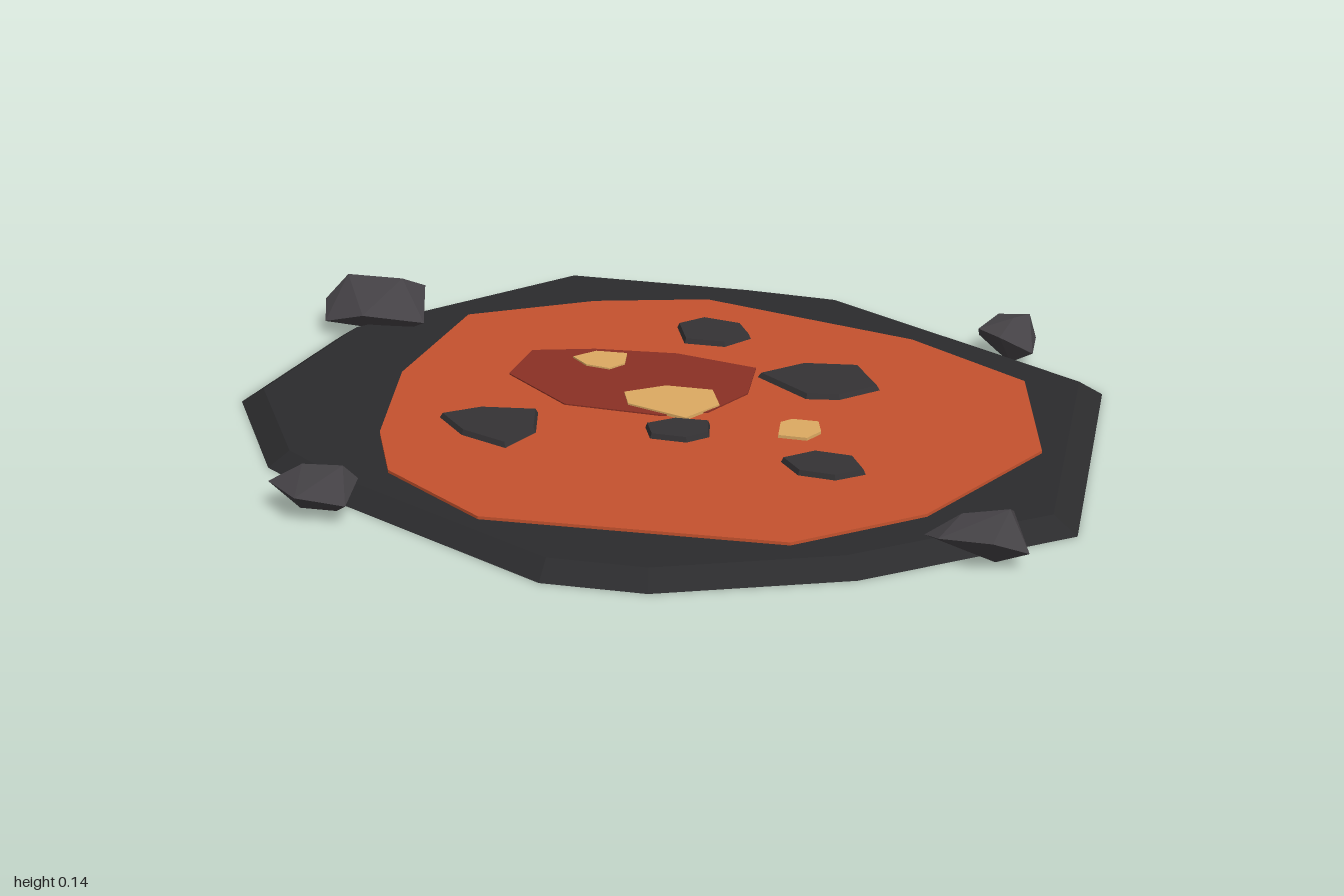
import * as THREE from 'three';
import { ConvexGeometry } from 'three/addons/geometries/ConvexGeometry.js';

const mat = (color) => new THREE.MeshStandardMaterial({ color, flatShading: true });
const crustMat = mat(0x2b2b2d);
const lavaMat = mat(0xc4522e);
const darkLavaMat = mat(0x8a3024);
const hotMat = mat(0xdcaa62);
const plateMat = mat(0x343234);
const rockMat = mat(0x454246);

// Faceted slab: an [x, z] outline, clockwise from above, with its top ring scaled about its middle
function slab(outline, y0, y1, topScale = 1) {
  const n = outline.length;
  const cx = outline.reduce((s, p) => s + p[0], 0) / n;
  const cz = outline.reduce((s, p) => s + p[1], 0) / n;
  const low = outline.map(([x, z]) => [x, y0, z]);
  const high = outline.map(([x, z]) => [cx + (x - cx) * topScale, y1, cz + (z - cz) * topScale]);
  const pos = [];
  for (let i = 0; i < n; i++) {
    const j = (i + 1) % n;
    pos.push(...high[i], ...high[j], ...low[i]);
    pos.push(...high[j], ...low[j], ...low[i]);
    pos.push(cx, y1, cz, ...high[j], ...high[i]);
    pos.push(cx, y0, cz, ...low[i], ...low[j]);
  }
  const geo = new THREE.BufferGeometry();
  geo.setAttribute('position', new THREE.Float32BufferAttribute(pos, 3));
  geo.computeVertexNormals();
  return geo;
}

const crust = [[-0.53, -0.78], [-0.05, -0.825], [0.19, -0.83], [0.68, -0.6], [0.91, -0.49], [0.995, 0.27],
  [0.61, 0.61], [0.225, 0.8], [0, 0.825], [-0.58, 0.6], [-0.765, 0.5], [-0.985, 0.19], [-0.935, -0.25]];

const lava = [[-0.12, -0.67], [0.43, -0.575], [0.74, -0.41], [0.855, -0.04], [0.69, 0.35], [0.455, 0.57],
  [-0.2, 0.66], [-0.47, 0.51], [-0.57, 0.33], [-0.66, 0], [-0.65, -0.385], [-0.385, -0.57]];

const darkPatch = [[-0.415, -0.215], [-0.275, -0.27], [-0.08, -0.305], [0.125, -0.28], [0.15, -0.13],
  [0.095, 0], [0, 0.05], [-0.23, 0.06], [-0.415, -0.065]];

const hotSpots = [
  [[-0.305, -0.2], [-0.265, -0.25], [-0.19, -0.26], [-0.175, -0.2], [-0.2, -0.16], [-0.26, -0.165]],
  [[-0.12, -0.04], [-0.04, -0.105], [0.07, -0.115], [0.11, -0.04], [0.06, 0.055], [-0.09, 0.02]],
  [[0.27, 0.01], [0.29, -0.015], [0.35, -0.02], [0.37, 0.03], [0.35, 0.075], [0.285, 0.08]],
];

const plates = [
  [[-0.135, -0.47], [-0.085, -0.53], [0.015, -0.52], [0.06, -0.455], [0.015, -0.385], [-0.085, -0.375]],
  [[0.14, -0.235], [0.225, -0.33], [0.355, -0.36], [0.435, -0.25], [0.36, -0.165], [0.285, -0.145]],
  [[-0.475, 0.215], [-0.4, 0.15], [-0.27, 0.12], [-0.235, 0.225], [-0.27, 0.325], [-0.39, 0.29]],
  [[-0.015, 0.12], [0.04, 0.07], [0.12, 0.06], [0.14, 0.125], [0.1, 0.17], [0.015, 0.175]],
  [[0.325, 0.2], [0.385, 0.14], [0.475, 0.14], [0.52, 0.205], [0.465, 0.255], [0.38, 0.255]],
];

// Corner points [x, y, z] of the boulders on the rim
const rocks = [
  [[-1, 0.07, -0.31], [-0.95, 0.13, -0.34], [-0.8, 0.14, -0.33], [-0.91, 0.07, -0.41], [-0.77, 0.1, -0.4],
    [-0.72, 0.055, -0.27], [-0.86, 0.075, -0.22], [-0.97, 0.04, -0.24], [-0.92, 0.01, -0.31], [-0.8, 0.01, -0.3]],
  [[0.58, 0.05, -0.64], [0.615, 0.09, -0.69], [0.69, 0.095, -0.7], [0.725, 0.045, -0.575], [0.65, 0.09, -0.54],
    [0.59, 0.09, -0.58], [0.71, 0.04, -0.69], [0.66, 0.1, -0.65], [0.63, 0.01, -0.64], [0.67, 0.01, -0.59]],
  [[0.71, 0.05, 0.46], [0.79, 0.06, 0.35], [0.87, 0.07, 0.335], [0.93, 0.04, 0.46], [0.865, 0.08, 0.52],
    [0.75, 0.07, 0.51], [0.88, 0.12, 0.43], [0.78, 0.095, 0.43], [0.86, 0.01, 0.46], [0.8, 0.01, 0.42]],
  [[-0.67, 0.065, 0.685], [-0.615, 0.065, 0.6], [-0.52, 0.07, 0.595], [-0.48, 0.08, 0.64], [-0.475, 0.05, 0.72],
    [-0.58, 0.065, 0.745], [-0.5, 0.12, 0.67], [-0.6, 0.105, 0.66], [-0.6, 0.01, 0.68], [-0.52, 0.01, 0.67]],
];

export function createModel() {
  const model = new THREE.Group();
  model.name = 'lavaPool';
  const add = (name, geometry, material) => {
    const mesh = new THREE.Mesh(geometry, material);
    mesh.name = name;
    model.add(mesh);
  };

  // Sloped crust and the molten surface
  add('crust', slab(crust, 0, 0.036, 0.945), crustMat);
  add('lava', slab(lava, 0.03, 0.043), lavaMat);
  add('darkLavaPatch', slab(darkPatch, 0.04, 0.046), darkLavaMat);

  // Bright spots and cooled plates floating on the lava
  hotSpots.forEach((o, i) => add(`hotSpot${i + 1}`, slab(o, 0.04, 0.05), hotMat));
  plates.forEach((o, i) => add(`floatingPlate${i + 1}`, slab(o, 0.04, 0.055, 0.93), plateMat));

  // Boulders on the rim
  rocks.forEach((pts, i) => {
    add(`rimRock${i + 1}`, new ConvexGeometry(pts.map((p) => new THREE.Vector3(...p))), rockMat);
  });
  return model;
}
